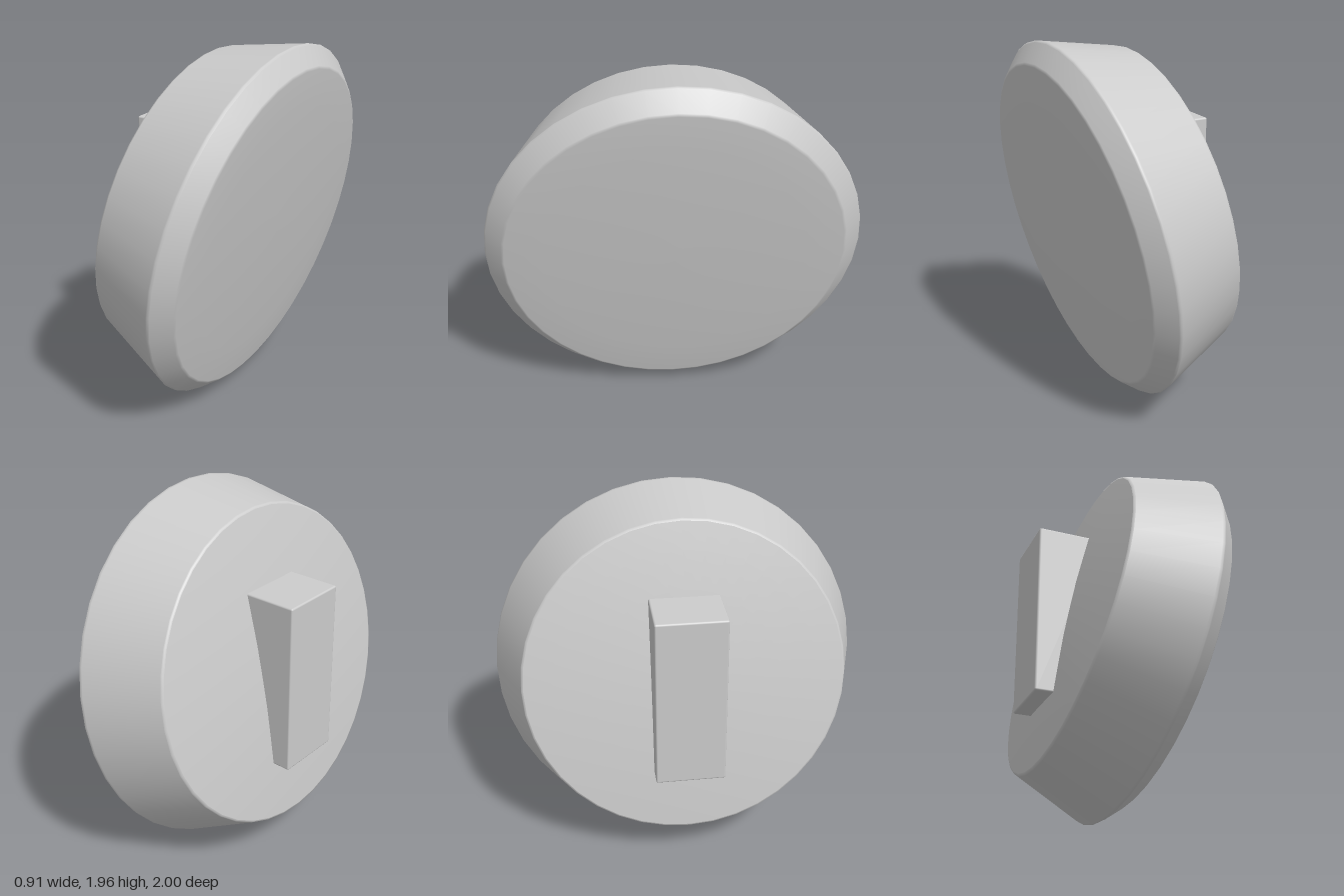
import * as THREE from 'three';
import { RoundedBoxGeometry } from 'three/addons/geometries/RoundedBoxGeometry.js';

const SIDES = 40;

export function createModel() {
  const model = new THREE.Group();
  const grey = new THREE.MeshStandardMaterial({ color: 0xcccccc });
  grey.name = 'grey';

  // Tilted disc: local +y is the axis, pointing towards +x and slightly down
  const disc = new THREE.Group();
  disc.name = 'disc';
  disc.position.set(0.185, 0.985, 0);
  disc.rotation.z = -THREE.MathUtils.degToRad(101.3);
  model.add(disc);

  // Each profile is a list of [radius, height]; separate profiles meet in a crease
  const addTurned = (name, profile) => {
    const points = profile.map(([r, h]) => new THREE.Vector2(r, h));
    const mesh = new THREE.Mesh(new THREE.LatheGeometry(points, SIDES), grey);
    mesh.name = name;
    disc.add(mesh);
  };

  // Shallow dome behind, conical side wall, chamfered and gently domed face
  addTurned('backFace', [[0, -0.478], [0.25, -0.474], [0.5, -0.46], [0.7, -0.445], [0.848, -0.43]]);
  addTurned('backEdge', [[0.848, -0.43], [0.856, -0.427], [0.86, -0.419]]);
  addTurned('sideWall', [[0.86, -0.419], [0.996, -0.012]]);
  addTurned('rimEdge', [[0.996, -0.012], [1, 0], [0.993, 0.008]]);
  addTurned('frontFace', [[0.993, 0.008], [0.91, 0.089], [0.895, 0.096], [0.7, 0.106], [0.45, 0.113], [0.2, 0.117], [0, 0.118]]);

  // Upright mounting block, sunk into the back of the disc
  const block = new THREE.Mesh(new RoundedBoxGeometry(0.36, 0.95, 0.372, 2, 0.01), grey);
  block.name = 'mountingBlock';
  block.position.set(-0.28, 1.055, 0);
  model.add(block);

  return model;
}
